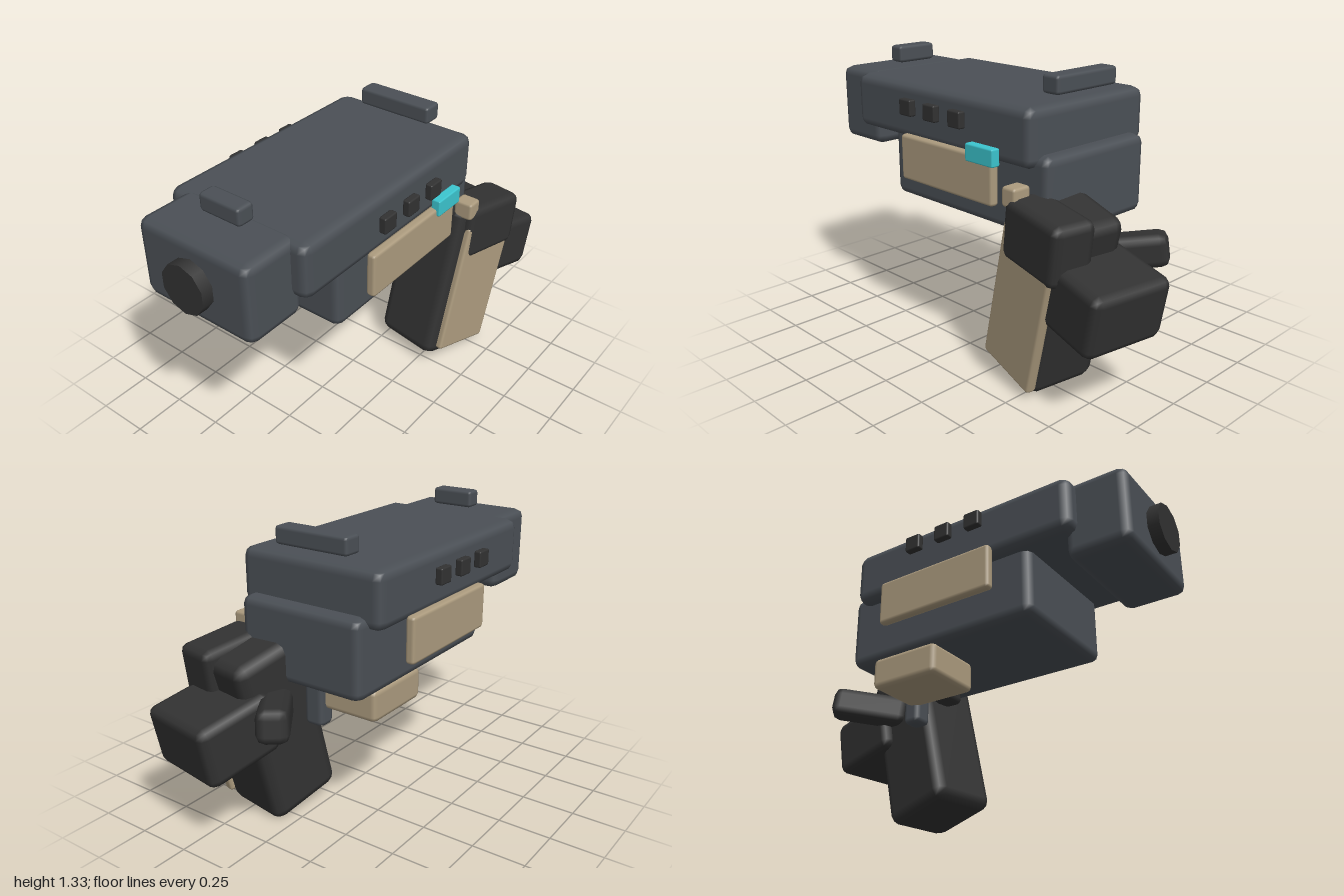
import * as THREE from 'three';
import { RoundedBoxGeometry } from 'three/addons/geometries/RoundedBoxGeometry.js';

const deg = THREE.MathUtils.degToRad;

function material(name, color) {
  const m = new THREE.MeshStandardMaterial({ color });
  m.name = name;
  return m;
}

export function createModel() {
  const model = new THREE.Group();
  model.name = 'handHeldBlaster';

  const gunmetal = material('gunmetal', 0x4b5056);
  const black = material('black', 0x323232);
  const tan = material('tan', 0xad9c7f);
  const cyan = material('cyan', 0x3cc6d0);

  // Bevelled box given by centre, size, bevel and an optional pitch and yaw in degrees
  function box(name, mat, pos, size, bevel, pitch = 0, yaw = 0, parent = model) {
    const mesh = new THREE.Mesh(new RoundedBoxGeometry(...size, 1, bevel), mat);
    mesh.name = name;
    mesh.position.set(...pos);
    mesh.rotation.set(deg(pitch), deg(yaw), 0, 'YXZ');
    parent.add(mesh);
    return mesh;
  }

  // Blaster body, built around its own centre line
  const body = new THREE.Group();
  body.name = 'blasterBody';
  body.position.x = -0.04;
  model.add(body);
  const part = (name, mat, pos, size, bevel) => box(name, mat, pos, size, bevel, 0, 0, body);

  part('slide', gunmetal, [0, 1.1, 0.122], [0.74, 0.26, 1.18], 0.045);
  part('muzzleBlock', gunmetal, [0, 1.048, 0.795], [0.59, 0.365, 0.3], 0.042);
  part('lowerFrame', gunmetal, [0.012, 0.85, -0.028], [0.635, 0.362, 1.005], 0.04);
  part('rearSight', gunmetal, [0, 1.298, -0.402], [0.38, 0.083, 0.095], 0.016);
  part('frontSight', gunmetal, [0, 1.29, 0.737], [0.215, 0.083, 0.085], 0.016);

  // Ten-sided barrel
  const barrel = new THREE.Mesh(new THREE.CylinderGeometry(0.113, 0.113, 0.16, 10), black);
  barrel.name = 'barrel';
  barrel.rotation.x = Math.PI / 2;
  barrel.position.set(0, 1.045, 0.92);
  body.add(barrel);

  // Side panels and buttons, mirrored
  for (const side of [-1, 1]) {
    part('sidePanel', tan, [side * 0.384, 0.893, 0.025], [0.046, 0.215, 0.61], 0.016);
    for (const z of [0.257, 0.092, -0.074]) {
      part('sideButton', black, [side * 0.417, 1.137, z], [0.036, 0.076, 0.08], 0.008);
    }
  }
  part('indicatorLight', cyan, [0.398, 1.005, -0.215], [0.046, 0.08, 0.17], 0.008);

  // Trigger and the block under the frame
  box('underBlock', tan, [-0.183, 0.605, -0.22], [0.305, 0.15, 0.36], 0.025);
  box('trigger', gunmetal, [-0.02, 0.575, -0.385], [0.1, 0.26, 0.09], 0.025);

  // Tilted grip with a panel on its outer side
  const grip = new THREE.Group();
  grip.name = 'grip';
  grip.position.set(0.21, 0.436, -0.482);
  grip.rotation.set(deg(-13.5), deg(-9.3), 0, 'YXZ');
  model.add(grip);
  box('gripBody', black, [0, 0, 0], [0.35, 0.82, 0.375], 0.05, 0, 0, grip);
  box('gripPanel', tan, [0.18, -0.025, -0.03], [0.05, 0.68, 0.335], 0.015, 0, 0, grip);

  // Blocks of the hand around the grip
  box('knuckleBlock', black, [0.335, 0.717, -0.573], [0.21, 0.275, 0.36], 0.04, -7, -9.3);
  box('wristBlock', black, [0.24, 0.503, -0.775], [0.4, 0.285, 0.385], 0.04, -11, -9.3);
  box('thumb', black, [-0.025, 0.6, -0.685], [0.14, 0.15, 0.38], 0.04, 8, 38);
  box('indexFinger', black, [0.125, 0.65, -0.34], [0.12, 0.12, 0.17], 0.03);
  box('latch', tan, [0.357, 0.87, -0.415], [0.095, 0.09, 0.08], 0.015);

  return model;
}
